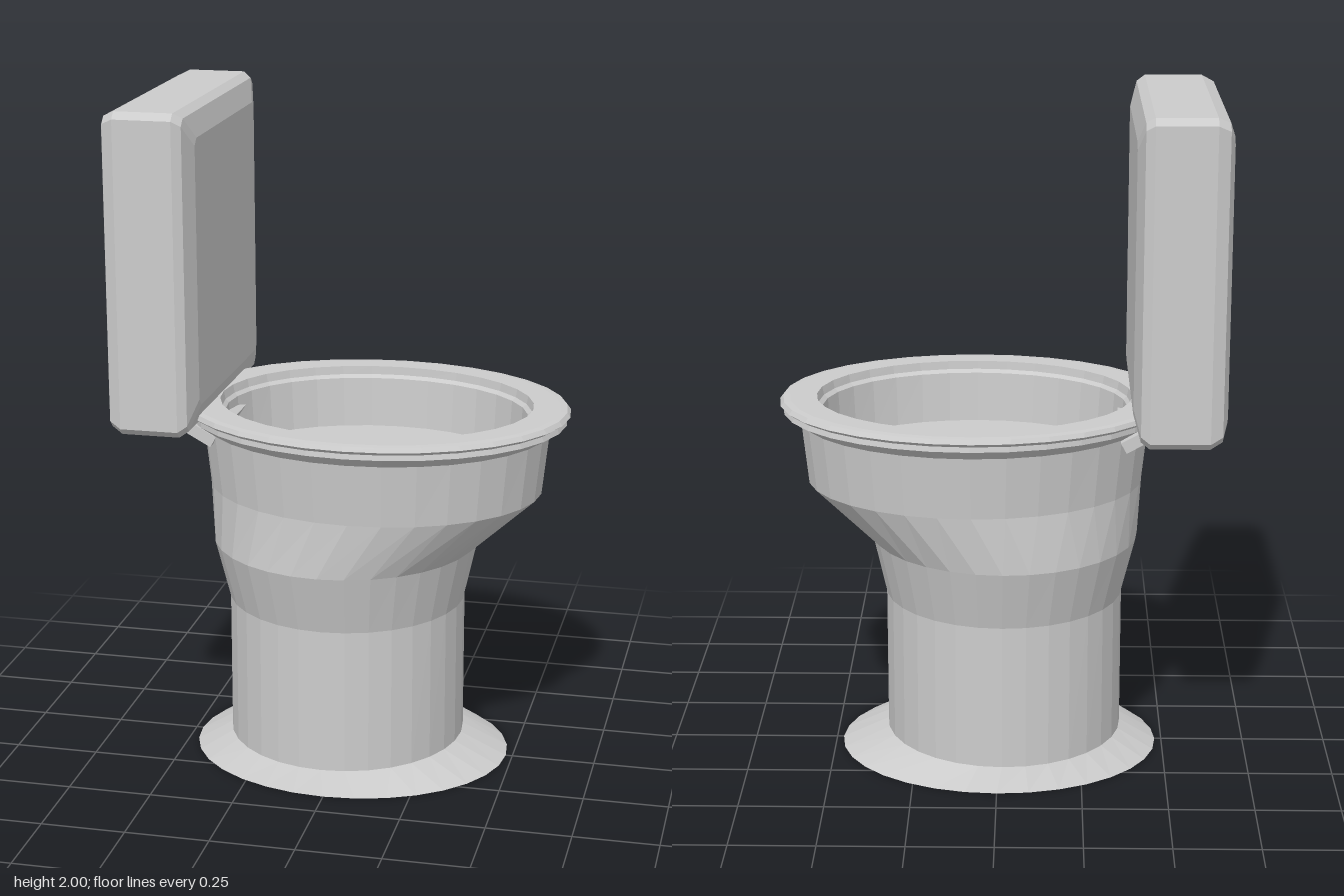
import * as THREE from 'three';

const SEGMENTS = 32;

function makeMesh(name, positions, index) {
  const indexed = new THREE.BufferGeometry();
  indexed.setAttribute('position', new THREE.Float32BufferAttribute(positions, 3));
  indexed.setIndex(index);
  const geometry = indexed.toNonIndexed();
  geometry.computeVertexNormals();
  const material = new THREE.MeshStandardMaterial({
    color: 0xcccccc, flatShading: true, side: THREE.DoubleSide,
  });
  const mesh = new THREE.Mesh(geometry, material);
  mesh.name = name;
  return mesh;
}

// Joins consecutive rings of equal point count with quads
function loft(name, rings) {
  const n = rings[0].length;
  const index = [];
  for (let i = 0; i < rings.length - 1; i++) {
    for (let j = 0; j < n; j++) {
      const k = (j + 1) % n;
      const a = i * n + j, b = i * n + k, c = a + n, d = b + n;
      index.push(a, b, d, a, d, c);
    }
  }
  return makeMesh(name, rings.flat(2), index);
}

// Horizontal ellipse given as [height, back x, front x, half width]
function ellipse([y, back, front, rz]) {
  const ring = [];
  for (let j = 0; j < SEGMENTS; j++) {
    const a = (j / SEGMENTS) * Math.PI * 2;
    const x = (back + front) / 2 + Math.cos(a) * (front - back) / 2;
    ring.push([Math.max(x, -0.45), y, -Math.sin(a) * rz]);
  }
  return ring;
}

// Flat-ended rectangle across x with clipped corners, shrunk by an inset
function tankSection([x, inset]) {
  const hy = 0.468 - inset, hz = 0.403 - inset, c = 0.02;
  const cy = 1.532, cz = -0.027;
  return [
    [hy, hz - c], [hy - c, hz], [-hy + c, hz], [-hy, hz - c],
    [-hy, -hz + c], [-hy + c, -hz], [hy - c, -hz], [hy, -hz + c],
  ].map(([y, z]) => [x, cy + y, cz + z]);
}

export function createModel() {
  const group = new THREE.Group();
  group.name = 'toilet';

  // Thin flared skirt on the ground; not clipped at the back
  const skirt = loft('baseSkirt', [
    [0, 0.48, 0.402], [0.065, 0.355, 0.36],
  ].map(([y, rx, rz]) => ellipse([y, -rx, rx, rz]).map((p, j) => {
    const shift = y > 0 ? -0.015 : 0;
    return [Math.cos((j / SEGMENTS) * Math.PI * 2) * rx + shift, p[1], p[2]];
  })));
  group.add(skirt);

  // Pedestal widening forward into the outside of the bowl
  group.add(loft('pedestal', [
    [0.06, -0.015, -0.015, 0],
    [0.06, -0.37, 0.34, 0.36],
    [0.5, -0.37, 0.34, 0.355],
    [0.68, -0.415, 0.38, 0.4],
    [0.85, -0.425, 0.57, 0.402],
    [1.035, -0.445, 0.59, 0.42],
  ].map(ellipse)));

  // Oval rim, flared below and rolled at its outer edge
  group.add(loft('rim', [
    [1.035, -0.445, 0.59, 0.42],
    [1.065, -0.49, 0.64, 0.455],
    [1.08, -0.49, 0.635, 0.452],
    [1.09, -0.505, 0.65, 0.463],
    [1.103, -0.5, 0.64, 0.455],
    [1.105, -0.48, 0.62, 0.437],
    [1.105, -0.395, 0.54, 0.372],
    [1.08, -0.39, 0.535, 0.37],
    [1.07, -0.38, 0.523, 0.36],
  ].map(ellipse)));

  // Inside of the bowl with a sunken drain
  group.add(loft('basin', [
    [1.07, -0.38, 0.523, 0.36],
    [0.92, -0.37, 0.515, 0.348],
    [0.92, -0.19, 0.05, 0.13],
    [0.76, -0.18, 0.04, 0.12],
    [0.76, -0.07, -0.07, 0],
  ].map(ellipse)));

  // Upright cistern with softened edges
  const sections = [
    [-0.65, 0.06], [-0.635, 0.017], [-0.6, 0], [-0.43, 0],
    [-0.405, 0.016], [-0.385, 0.08],
  ].map(tankSection);
  const closed = (x) => Array.from({ length: 8 }, () => [x, 1.532, -0.027]);
  group.add(loft('tank', [closed(-0.65), ...sections, closed(-0.385)]));

  // Sloped ledge joining the bowl to the cistern
  const ledge = new THREE.Mesh(
    new THREE.BoxGeometry(0.13, 0.035, 0.5),
    new THREE.MeshStandardMaterial({ color: 0xcccccc, flatShading: true }),
  );
  ledge.name = 'tankLedge';
  ledge.position.set(-0.42, 1.05, -0.01);
  ledge.rotation.z = -0.5;
  group.add(ledge);

  return group;
}
